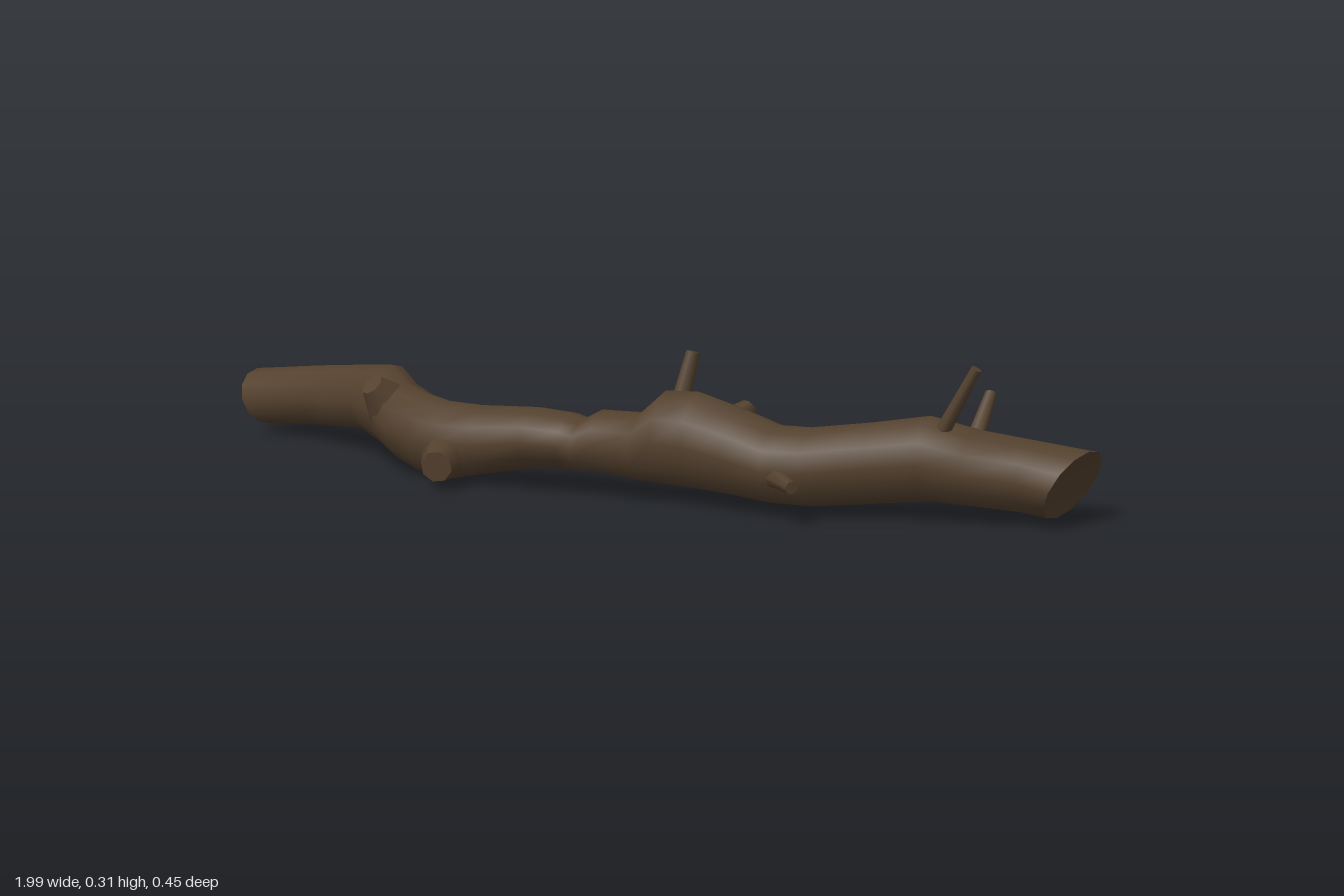
import * as THREE from 'three';

const SIDES = 12;

// Cross-sections along the log: x, back z, front z, bottom y, top y
const SECTIONS = [
  [-0.975, -0.225, -0.105, 0.015, 0.14],
  [-0.82, -0.205, -0.075, 0.03, 0.163],
  [-0.74, -0.185, -0.045, 0.037, 0.175],
  [-0.64, -0.145, 0.0, 0.05, 0.19],
  [-0.54, -0.105, 0.085, 0.038, 0.208],
  [-0.47, -0.05, 0.135, 0.022, 0.183],
  [-0.4, 0.005, 0.155, 0.006, 0.173],
  [-0.33, 0.033, 0.17, 0.0, 0.166],
  [-0.25, 0.025, 0.17, 0.018, 0.163],
  [-0.13, 0.01, 0.165, 0.042, 0.168],
  [-0.05, 0.014, 0.157, 0.045, 0.163],
  [-0.02, 0.017, 0.153, 0.045, 0.153],
  [0.02, 0.017, 0.15, 0.045, 0.175],
  [0.11, 0.018, 0.152, 0.038, 0.178],
  [0.16, 0.0, 0.155, 0.034, 0.225],
  [0.23, -0.01, 0.156, 0.03, 0.228],
  [0.32, -0.012, 0.158, 0.025, 0.203],
  [0.4, -0.014, 0.158, 0.018, 0.176],
  [0.47, -0.02, 0.14, 0.016, 0.175],
  [0.58, -0.045, 0.09, 0.025, 0.188],
  [0.69, -0.095, 0.068, 0.035, 0.205],
  [0.77, -0.125, 0.047, 0.028, 0.182],
  [0.87, -0.16, 0.0, 0.016, 0.163],
  [0.955, -0.183, 0.005, 0.01, 0.148],
];

// Slant of the two cut ends: change of x per unit of y and z
const SLANT = { 0: [-0.25, -0.3], [SECTIONS.length - 1]: [0.45, -0.2] };

function ringPoints(i) {
  const [x, zb, zf, yb, yt] = SECTIONS[i];
  const [sy, sz] = SLANT[i] || [0, 0];
  const ring = [];
  for (let j = 0; j < SIDES; j++) {
    const a = (j / SIDES) * Math.PI * 2;
    const dy = Math.cos(a) * (yt - yb) / 2;
    const dz = Math.sin(a) * (zf - zb) / 2;
    ring.push(new THREE.Vector3(x + sy * dy + sz * dz, (yt + yb) / 2 + dy, (zf + zb) / 2 + dz));
  }
  return ring;
}

function buildGeometry(points, index) {
  const geo = new THREE.BufferGeometry().setFromPoints(points);
  geo.setIndex(index);
  geo.computeVertexNormals();
  return geo;
}

// Bark: skin across all cross-sections
function barkGeometry() {
  const points = [], index = [];
  SECTIONS.forEach((s, i) => points.push(...ringPoints(i)));
  for (let i = 0; i < SECTIONS.length - 1; i++) {
    for (let j = 0; j < SIDES; j++) {
      const k = (j + 1) % SIDES;
      const a = i * SIDES + j, b = i * SIDES + k, c = a + SIDES, d = b + SIDES;
      index.push(a, b, c, b, d, c);
    }
  }
  return buildGeometry(points, index);
}

// Slightly hollowed cut face; dir is -1 for the -x end, +1 for the +x end
function endGeometry(i, dir) {
  const points = ringPoints(i), index = [];
  const centre = new THREE.Vector3();
  points.forEach((p) => centre.addScaledVector(p, 1 / SIDES));
  centre.x -= dir * 0.015;
  points.push(centre);
  for (let j = 0; j < SIDES; j++) {
    const k = (j + 1) % SIDES;
    if (dir > 0) index.push(SIDES, j, k);
    else index.push(SIDES, k, j);
  }
  return buildGeometry(points, index);
}

export function createModel() {
  const group = new THREE.Group();
  const bark = new THREE.MeshStandardMaterial({ color: 0x54412e });
  bark.name = 'barkBrown';

  const add = (name, geo) => {
    const mesh = new THREE.Mesh(geo, bark);
    mesh.name = name;
    group.add(mesh);
    return mesh;
  };

  // Tapered stub between two points
  const stub = (name, from, to, r0, r1, sides = 7) => {
    const a = new THREE.Vector3(...from), b = new THREE.Vector3(...to);
    const mesh = add(name, new THREE.CylinderGeometry(r1, r0, a.distanceTo(b), sides));
    mesh.position.copy(a).lerp(b, 0.5);
    mesh.quaternion.setFromUnitVectors(new THREE.Vector3(0, 1, 0), b.sub(a).normalize());
  };

  add('log', barkGeometry());
  add('rightCutEnd', endGeometry(0, -1));
  add('leftCutEnd', endGeometry(SECTIONS.length - 1, 1));

  // Broken twigs
  stub('middleTwig', [0.183, 0.19, 0.064], [0.202, 0.302, 0.04], 0.02, 0.014);
  stub('tallTwig', [0.715, 0.17, 0.005], [0.787, 0.308, 0.005], 0.016, 0.011);
  stub('backTwig', [0.755, 0.13, -0.065], [0.76, 0.232, -0.158], 0.02, 0.012);
  stub('frontTwig', [0.4, 0.085, 0.11], [0.485, 0.08, 0.19], 0.025, 0.013);

  // Knots and swellings
  stub('frontKnot', [-0.32, 0.06, 0.12], [-0.295, 0.05, 0.213], 0.055, 0.033, 8);
  stub('shoulderKnot', [-0.49, 0.12, 0.05], [-0.515, 0.185, 0.105], 0.065, 0.025, 8);
  stub('backKnot', [0.27, 0.14, 0.05], [0.305, 0.19, -0.012], 0.05, 0.018, 6);
  return group;
}
